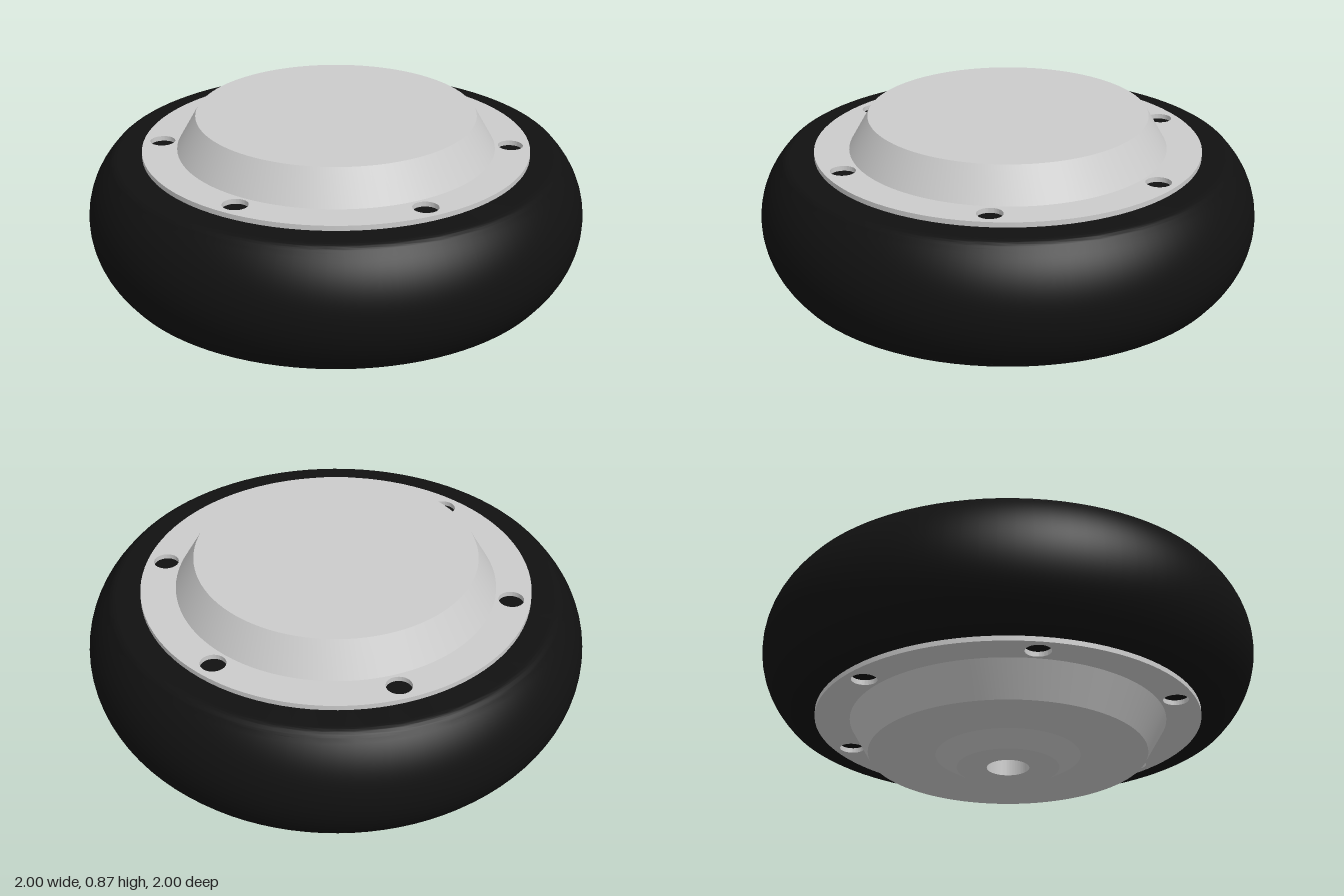
import * as THREE from 'three';
import { toCreasedNormals } from 'three/addons/utils/BufferGeometryUtils.js';

const MID = 0.46; // height of the wheel's middle plane
const SEGMENTS = 96;

// Turned part from [radius, y] pairs, with crisp edges
function turned(name, profile, material) {
  const points = profile.map(([r, y]) => new THREE.Vector2(r, y));
  const geometry = toCreasedNormals(new THREE.LatheGeometry(points, SEGMENTS), 0.4);
  const mesh = new THREE.Mesh(geometry, material);
  mesh.name = name;
  return mesh;
}

// Tyre section: bulging tread arc with small rounded shoulders, closed inside
function tyreProfile() {
  const shape = new THREE.Path();
  shape.moveTo(0.63, -0.255);
  shape.lineTo(0.865, -0.255);
  shape.quadraticCurveTo(0.893, -0.255, 0.91, -0.231);
  const R = 0.34, a = Math.asin(0.231 / R);
  shape.absarc(1 - R, 0, R, -a, a, false);
  shape.lineTo(0.91, 0.231);
  shape.quadraticCurveTo(0.893, 0.255, 0.865, 0.255);
  shape.lineTo(0.63, 0.255);
  shape.lineTo(0.63, -0.255);
  return shape.getPoints(16).map((p) => [p.x, p.y + MID]);
}

// Flange ring with six bolt holes
function flangeGeometry() {
  const shape = new THREE.Shape().absarc(0, 0, 0.777, 0, Math.PI * 2);
  shape.holes.push(new THREE.Path().absarc(0, 0, 0.62, 0, Math.PI * 2, true));
  for (let i = 0; i < 6; i++) {
    const a = (i * Math.PI) / 3;
    shape.holes.push(new THREE.Path().absarc(0.7 * Math.cos(a), 0.7 * Math.sin(a), 0.05, 0, Math.PI * 2, true));
  }
  const geometry = new THREE.ExtrudeGeometry(shape, { depth: 0.02, bevelEnabled: false, curveSegments: 48 });
  geometry.rotateX(-Math.PI / 2);
  return toCreasedNormals(geometry, 0.4);
}

export function createModel() {
  const group = new THREE.Group();
  group.name = 'wheel';
  const grey = new THREE.MeshStandardMaterial({ color: 0xcccccc });
  const black = new THREE.MeshStandardMaterial({ color: 0x111111 });

  group.add(turned('tyre', tyreProfile(), black));

  // Hub with tapered covers, bottom boss and blind axle bore
  group.add(turned('hub', [
    [0, 0.25], [0.085, 0.25], [0.085, 0],
    [0.205, 0], [0.29, 0.05], [0.56, 0.05],
    [0.637, 0.185], [0.637, 0.735],
    [0.56, 0.87], [0, 0.87],
  ], grey));

  const flange = flangeGeometry();
  for (const [name, y] of [['lowerFlange', 0.185], ['upperFlange', 0.715]]) {
    const mesh = new THREE.Mesh(flange, grey);
    mesh.name = name;
    mesh.position.y = y;
    group.add(mesh);
  }
  return group;
}
